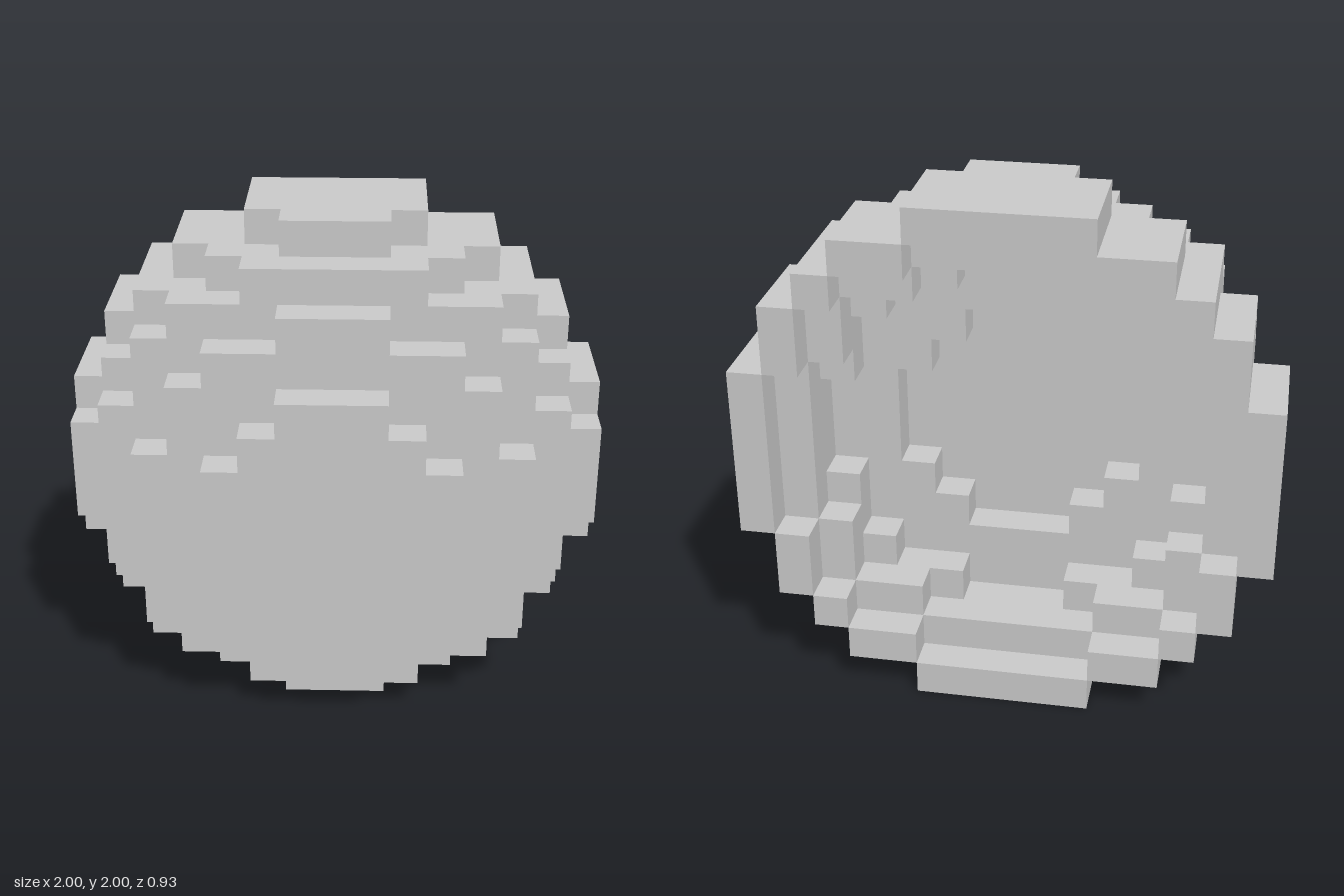
import * as THREE from 'three';
import { mergeGeometries } from 'three/addons/utils/BufferGeometryUtils.js';

const S = 2 / 15; // block size

// Half widths in blocks for rows 0, 1, 2 ... away from the middle of each disc
const RIM = [7, 7, 7, 6, 6, 5, 4, 2];
const INNER_STEP = [5, 5, 4, 4, 3, 1];
const CAP = [3, 3, 2, 1];

// Back to front: name, outer disc, hollow cut into it
const LAYERS = [
  ['backRim', RIM, [6, 6, 6, 5, 5, 4, 2]],
  ['secondRim', RIM, [5, 5, 5, 4, 4, 2]],
  ['thirdRim', RIM, INNER_STEP],
  ['shoulderRing', [7, 7, 6, 6, 5, 5, 3, 1], CAP],
  ['outerStep', [6, 6, 6, 5, 5, 4, 2], []],
  ['innerStep', INNER_STEP, []],
  ['frontCap', CAP, []],
];

const inDisc = (rows, i, j) => Math.abs(i) <= (rows[Math.abs(j)] ?? -1);

// Stepped dome with a stepped hollow open at the back
function filled(i, j, k) {
  if (k < 0 || k >= LAYERS.length) return false;
  const [, outer, hollow] = LAYERS[k];
  return inDisc(outer, i, j) && !inDisc(hollow, i, j);
}

// One block face for each direction, pushed out from the block centre
const FACES = [
  [1, 0, 0], [-1, 0, 0], [0, 1, 0], [0, -1, 0], [0, 0, 1], [0, 0, -1],
].map((d) => {
  const geometry = new THREE.PlaneGeometry(S, S).translate(0, 0, S / 2);
  if (d[0]) geometry.rotateY(d[0] * Math.PI / 2);
  else if (d[1]) geometry.rotateX(-d[1] * Math.PI / 2);
  else if (d[2] < 0) geometry.rotateY(Math.PI);
  return { d, geometry };
});

// All exposed faces of one layer of blocks
function layerGeometry(k) {
  const parts = [];
  for (let j = -7; j <= 7; j++) {
    for (let i = -7; i <= 7; i++) {
      if (!filled(i, j, k)) continue;
      for (const { d, geometry } of FACES) {
        if (filled(i + d[0], j + d[1], k + d[2])) continue;
        parts.push(geometry.clone().translate(i * S, 1 + j * S, (k - 3) * S));
      }
    }
  }
  return mergeGeometries(parts);
}

export function createModel() {
  const group = new THREE.Group();
  group.name = 'steppedDomeShell';
  const material = new THREE.MeshStandardMaterial({ color: 0xcccccc, flatShading: true });
  LAYERS.forEach(([name], k) => {
    const mesh = new THREE.Mesh(layerGeometry(k), material);
    mesh.name = name;
    group.add(mesh);
  });
  return group;
}
